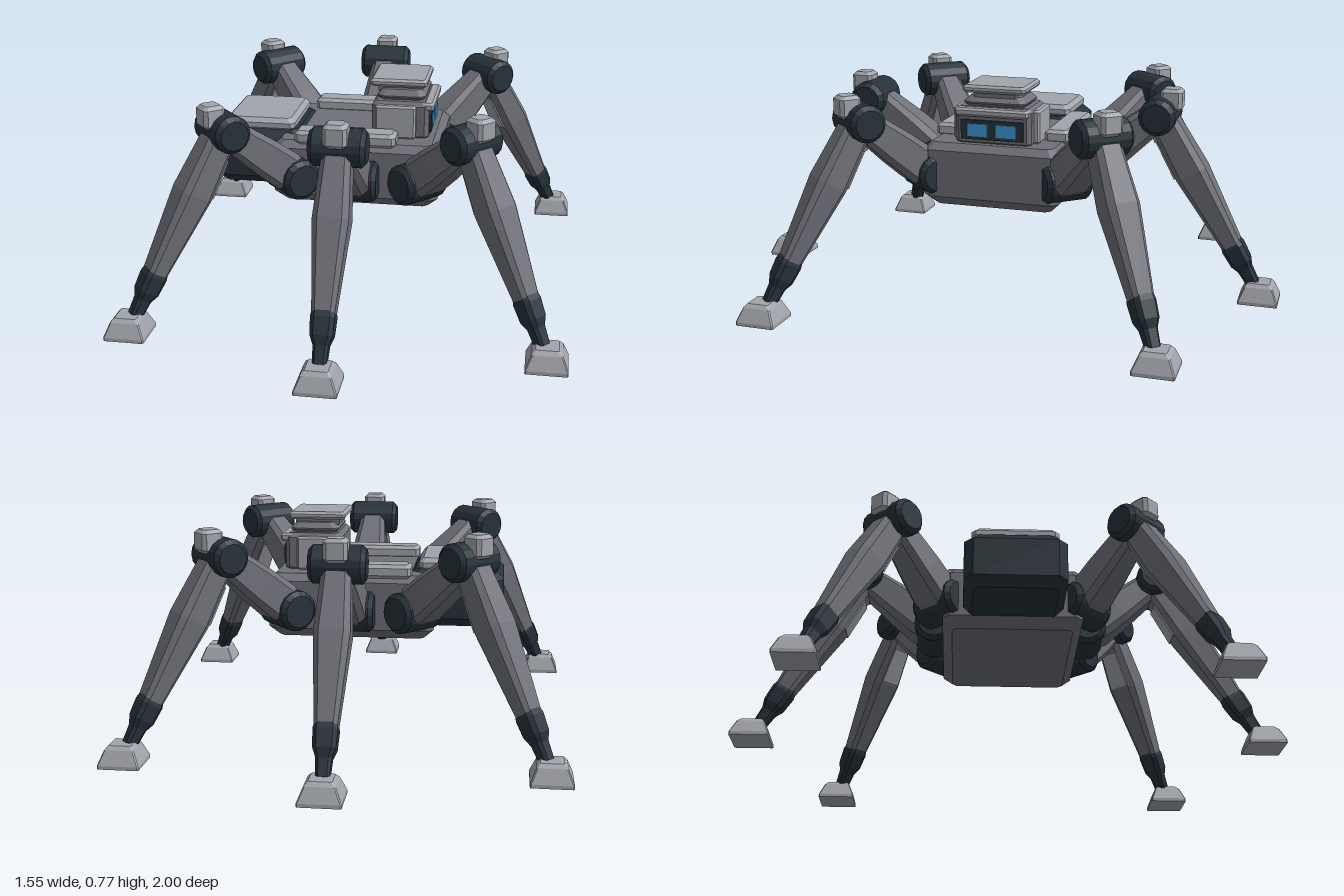
import * as THREE from 'three';

const mat = (name, color) => Object.assign(new THREE.MeshStandardMaterial({ color }), { name });

// Faceted solid from chamfered rectangles stacked along y: [y, halfX, halfZ, chamfer]
function loft(sections) {
  const rings = sections.map(([y, w, d, c]) => [
    [w, -d + c], [w, d - c], [w - c, d], [-w + c, d],
    [-w, d - c], [-w, -d + c], [-w + c, -d], [w - c, -d],
  ].map(([x, z]) => [x, y, z]));
  const pos = [];
  const tri = (...corners) => corners.forEach((p) => pos.push(...p));
  for (let s = 0; s < rings.length - 1; s++) {
    for (let i = 0; i < 8; i++) {
      const j = (i + 1) % 8, lo = rings[s], hi = rings[s + 1];
      tri(lo[i], hi[i], lo[j]);
      tri(lo[j], hi[i], hi[j]);
    }
  }
  const bottom = rings[0], top = rings[rings.length - 1];
  for (let i = 1; i < 7; i++) {
    tri(bottom[0], bottom[i], bottom[i + 1]);
    tri(top[0], top[i + 1], top[i]);
  }
  const g = new THREE.BufferGeometry();
  g.setAttribute('position', new THREE.Float32BufferAttribute(pos, 3));
  g.computeVertexNormals();
  return g;
}

// Bevelled box given by its extents
function bevelBox([x0, x1], [y0, y1], [z0, z1], b, lower = b) {
  const w = (x1 - x0) / 2, d = (z1 - z0) / 2;
  return loft([
    [y0, w - lower, d - lower, b * 0.7],
    [y0 + lower, w, d, b],
    [y1 - b, w, d, b],
    [y1, w - b, d - b, b * 0.7],
  ]).translate((x0 + x1) / 2, 0, (z0 + z1) / 2);
}

// Bevelled drum lying along x
function drum(radius, half) {
  const b = 0.015;
  const profile = [[0, -half], [radius - b, -half], [radius, b - half], [radius, half - b], [radius - b, half], [0, half]];
  const g = new THREE.LatheGeometry(profile.map(([r, y]) => new THREE.Vector2(r, y)), 16).toNonIndexed();
  g.computeVertexNormals();
  return g.rotateZ(Math.PI / 2);
}

export function createModel() {
  const model = new THREE.Group();
  model.name = 'sixLeggedWalker';
  const grey = mat('midGrey', 0x6f7078);
  const light = mat('lightGrey', 0xa2a5ac);
  const dark = mat('darkSlate', 0x26323a);
  const blue = mat('eyeBlue', 0x3d9ad6);

  const add = (parent, name, geometry, material) => {
    const m = new THREE.Mesh(geometry, material);
    m.name = name;
    parent.add(m);
    return m;
  };

  // Hull, rear pack and deck rails
  add(model, 'hull', bevelBox([-0.295, 0.295], [0.34, 0.57], [-0.25, 0.25], 0.025, 0.035), grey);
  add(model, 'rearPack', bevelBox([-0.54, -0.19], [0.375, 0.58], [-0.178, 0.178], 0.032), dark);
  add(model, 'rearPackPanel', bevelBox([-0.495, -0.235], [0.57, 0.62], [-0.153, 0.153], 0.016), light);
  for (const s of [-1, 1]) {
    const z = s * 0.205;
    add(model, 'deckRail', bevelBox([-0.215, 0.145], [0.56, 0.61], [z - 0.045, z + 0.045], 0.012), light);
  }

  // Head with visor, brow, side plates and stacked roof
  const head = new THREE.Group();
  head.name = 'head';
  model.add(head);
  add(head, 'headBlock', bevelBox([0.045, 0.25], [0.56, 0.70], [-0.14, 0.14], 0.015), grey);
  add(head, 'headCrown', bevelBox([0.06, 0.235], [0.69, 0.735], [-0.115, 0.115], 0.02), grey);
  add(head, 'roofNeck', new THREE.BoxGeometry(0.16, 0.03, 0.15).translate(0.14, 0.74, 0), grey);
  add(head, 'roofPlate', bevelBox([0.035, 0.24], [0.747, 0.775], [-0.115, 0.115], 0.009), light);
  add(head, 'brow', bevelBox([0.215, 0.268], [0.668, 0.698], [-0.135, 0.135], 0.008), light);
  add(head, 'visor', new THREE.BoxGeometry(0.008, 0.07, 0.23).translate(0.253, 0.62, 0), dark);
  for (const s of [-1, 1]) {
    add(head, 'eye', new THREE.BoxGeometry(0.006, 0.045, 0.072).translate(0.258, 0.619, s * 0.052), blue);
    const z = s * 0.145;
    add(head, 'sidePlate', bevelBox([0.06, 0.205], [0.57, 0.69], [z - 0.015, z + 0.015], 0.007), light);
  }

  // Places a part modelled along y onto the line from a to b, given as [outward, height]
  const along = (mesh, a, b) => {
    mesh.position.set(0, a[1], a[0]);
    mesh.rotation.x = Math.atan2(b[0] - a[0], b[1] - a[1]);
  };
  const hip = [0.285, 0.45], knee = [0.55, 0.665], foot = [0.92, 0.04];
  const thighGeo = loft([
    [-0.02, 0.05, 0.055, 0.02], [0.05, 0.068, 0.07, 0.022], [0.15, 0.062, 0.066, 0.02], [0.34, 0.045, 0.05, 0.016],
  ]);
  const shinGeo = loft([
    [-0.03, 0.045, 0.048, 0.016], [0.24, 0.06, 0.058, 0.02], [0.56, 0.036, 0.034, 0.012],
  ]);
  const ankleGeo = loft([
    [0.52, 0.034, 0.034, 0.012], [0.55, 0.04, 0.04, 0.014], [0.61, 0.037, 0.037, 0.013],
    [0.64, 0.026, 0.026, 0.01], [0.70, 0.022, 0.022, 0.008],
  ]);
  // Thin armour faces, leaning with the taper of the limb beneath
  const shinPlateGeo = loft([[0.09, 0.034, 0.004, 0.001], [0.23, 0.04, 0.004, 0.001]])
    .rotateX(0.037).translate(0, 0, 0.051);
  const hipGeo = drum(0.072, 0.09), kneeGeo = drum(0.066, 0.095);
  const capGeo = bevelBox([-0.04, 0.04], [0.68, 0.76], [0.552, 0.63], 0.012);
  const footGeo = loft([
    [0, 0.07, 0.07, 0.004], [0.012, 0.07, 0.07, 0.004], [0.06, 0.05, 0.05, 0.004], [0.073, 0.038, 0.038, 0.004],
  ]);

  // One leg, reaching outward along its local z
  function addLeg(name, x, z, angle) {
    const leg = new THREE.Group();
    leg.name = name;
    leg.position.set(x, 0, z);
    leg.rotation.y = angle;
    model.add(leg);
    add(leg, 'hipJoint', hipGeo, dark).position.set(0, hip[1], hip[0]);
    add(leg, 'kneeJoint', kneeGeo, dark).position.set(0, knee[1], knee[0]);
    along(add(leg, 'thigh', thighGeo, grey), hip, knee);
    along(add(leg, 'shin', shinGeo, grey), knee, foot);
    along(add(leg, 'shinPlate', shinPlateGeo, light), knee, foot);
    along(add(leg, 'ankle', ankleGeo, dark), knee, foot);
    add(leg, 'kneeCap', capGeo, light);
    const pad = add(leg, 'foot', footGeo, light);
    pad.position.z = 0.93;
    pad.rotation.y = -angle;
  }

  for (const sz of [-1, 1]) {
    addLeg('middleLeg', 0, 0, sz > 0 ? 0 : Math.PI);
    for (const sx of [-1, 1]) {
      addLeg('cornerLeg', sx * 0.014, sz * 0.063, Math.atan2(sx * 0.743, sz * 0.669));
    }
  }
  return model;
}
